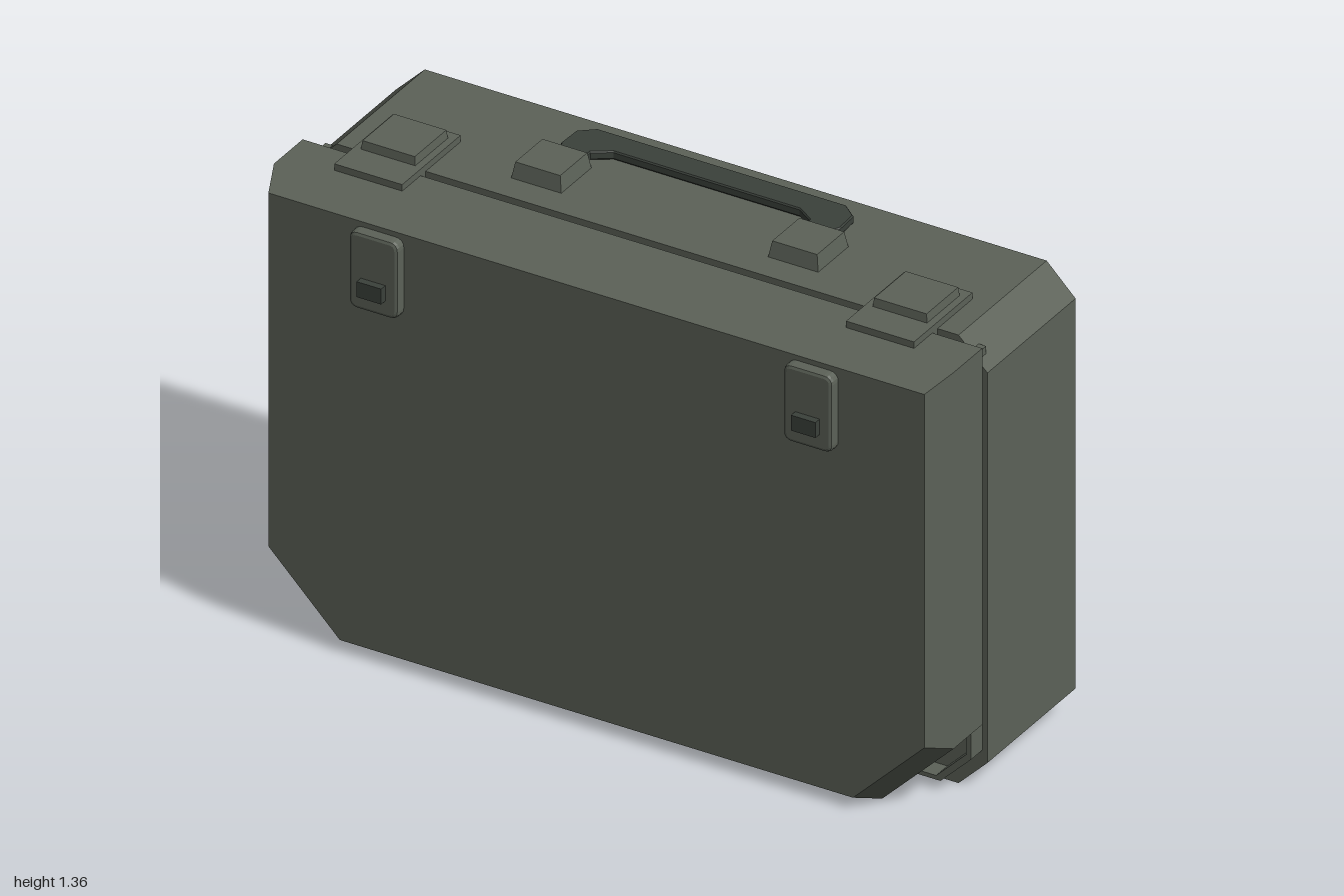
import * as THREE from 'three';

// Joins matching counter-clockwise outlines placed at rising z into a closed, hard-edged solid.
function loft(sections) {
  const pos = [];
  const put = (p, z) => pos.push(p[0], p[1], z);
  for (let s = 0; s < sections.length - 1; s++) {
    const a = sections[s], b = sections[s + 1], n = a.pts.length;
    for (let i = 0; i < n; i++) {
      const j = (i + 1) % n;
      put(a.pts[i], a.z); put(a.pts[j], a.z); put(b.pts[j], b.z);
      put(a.pts[i], a.z); put(b.pts[j], b.z); put(b.pts[i], b.z);
    }
  }
  const first = sections[0], last = sections[sections.length - 1];
  for (let i = 1; i < first.pts.length - 1; i++) {
    put(first.pts[0], first.z); put(first.pts[i + 1], first.z); put(first.pts[i], first.z);
    put(last.pts[0], last.z); put(last.pts[i], last.z); put(last.pts[i + 1], last.z);
  }
  const g = new THREE.BufferGeometry();
  g.setAttribute('position', new THREE.Float32BufferAttribute(pos, 3));
  g.computeVertexNormals();
  return g;
}

// Rectangle with separately cut bottom and top corners (a zero cut leaves a square corner).
function outline(w, y0, y1, low, high) {
  const half = [[w - low, y0], [w, y0 + low]];
  if (high > 0) half.push([w, y1 - high], [w - high, y1]);
  else half.push([w, y1]);
  return [...half, ...half.slice().reverse().map(([x, y]) => [-x, y])];
}

const toShape = (pts) => new THREE.Shape(pts.map(([x, y]) => new THREE.Vector2(x, y)));

// Hollow rim of an outline between two depths.
function rim(outer, inner, z0, z1) {
  const shape = toShape(outer);
  shape.holes.push(toShape(inner));
  const g = new THREE.ExtrudeGeometry(shape, { depth: z1 - z0, bevelEnabled: false });
  return g.translate(0, 0, z0);
}

// Box whose top is drawn in by the given amounts.
function taperedBox(w, h, d, inX, inZ) {
  const g = new THREE.BoxGeometry(w, h, d).toNonIndexed();
  const p = g.attributes.position;
  for (let i = 0; i < p.count; i++) {
    if (p.getY(i) > 0) {
      p.setX(i, p.getX(i) - Math.sign(p.getX(i)) * inX);
      p.setZ(i, p.getZ(i) - Math.sign(p.getZ(i)) * inZ);
    }
  }
  g.computeVertexNormals();
  return g;
}

function roundedRect(w, h, r) {
  const s = new THREE.Shape();
  const x = w / 2, y = h / 2;
  s.moveTo(-x + r, -y);
  s.lineTo(x - r, -y); s.quadraticCurveTo(x, -y, x, -y + r);
  s.lineTo(x, y - r); s.quadraticCurveTo(x, y, x - r, y);
  s.lineTo(-x + r, y); s.quadraticCurveTo(-x, y, -x, y - r);
  s.lineTo(-x, -y + r); s.quadraticCurveTo(-x, -y, -x + r, -y);
  return s;
}

export function createModel() {
  const model = new THREE.Group();
  model.name = 'briefcase';
  const green = new THREE.MeshStandardMaterial({ color: 0x5c6258 });
  green.name = 'grey green shell';
  const dark = new THREE.MeshStandardMaterial({ color: 0x3b413b });
  dark.name = 'dark green trim';

  const add = (name, geometry, material, x = 0, y = 0, z = 0) => {
    const m = new THREE.Mesh(geometry, material);
    m.name = name;
    m.position.set(x, y, z);
    model.add(m);
    return m;
  };

  // Back shell with four cut corners
  const back = outline(1, 0, 1.312, 0.085, 0.085);
  add('backShell', loft([{ z: -0.365, pts: back }, { z: 0.065, pts: back }]), green);

  // Front shell: large cuts at the bottom, square on top, sloped towards the face
  const front = outline(1, 0, 1.312, 0.21, 0);
  const face = outline(0.965, 0.035, 1.28, 0.21, 0);
  add('frontShell', loft([
    { z: 0.09, pts: front }, { z: 0.23, pts: front }, { z: 0.315, pts: face },
  ]), green);

  // Interlocking rims that bridge the seam and show at the cut corners
  add('frontRim', rim(outline(0.972, 0.025, 1.277, 0.2, 0),
    outline(0.945, 0.055, 1.25, 0.2, 0), 0.025, 0.1), green);
  add('backRim', rim(outline(0.985, 0.028, 1.277, 0.09, 0.09),
    outline(0.972, 0.04, 1.265, 0.09, 0.09), 0.05, 0.12), green);

  for (const side of [-1, 1]) {
    // Top catches across the seam
    add('catchBase', new THREE.BoxGeometry(0.2, 0.036, 0.285), green, side * 0.753, 1.313, 0.037);
    add('catchPlate', taperedBox(0.16, 0.025, 0.16, 0.003, 0.003), green, side * 0.753, 1.343, 0.003);

    // Handle mounts
    add('handleMount', taperedBox(0.148, 0.047, 0.148, 0.008, 0.008), green, side * 0.378, 1.334, -0.092);

    // Front clasps with push buttons
    const clasp = new THREE.ExtrudeGeometry(roundedRect(0.125, 0.205, 0.015), {
      depth: 0.022, bevelEnabled: true, bevelThickness: 0.01, bevelSize: 0.01,
      bevelSegments: 2, curveSegments: 4,
    });
    add('clasp', clasp, green, side * 0.639, 1.153, 0.313);
    add('claspButton', new THREE.BoxGeometry(0.072, 0.045, 0.025), dark, side * 0.639, 1.112, 0.353);
  }

  // Carrying handle lying flat towards the back
  const outer = [[0.395, 0.12], [0.395, 0.165], [0.408, 0.195], [0.405, 0.262], [0.365, 0.295]];
  const inner = [[0.275, 0.225], [0.325, 0.192], [0.325, 0.12]];
  const right = [...outer, ...inner.map(([x, y]) => [x, y])];
  const mirror = (pts) => pts.map(([x, y]) => [-x, y]);
  const handlePts = [
    ...outer, ...mirror(outer).reverse(),
    ...mirror(inner).reverse(), ...right.slice(outer.length),
  ];
  const handle = new THREE.ExtrudeGeometry(toShape(handlePts), {
    depth: 0.017, bevelEnabled: true, bevelThickness: 0.004, bevelSize: 0.003, bevelSegments: 1,
  });
  handle.rotateX(-Math.PI / 2);
  add('handle', handle, dark, 0, 1.32, 0);

  return model;
}
